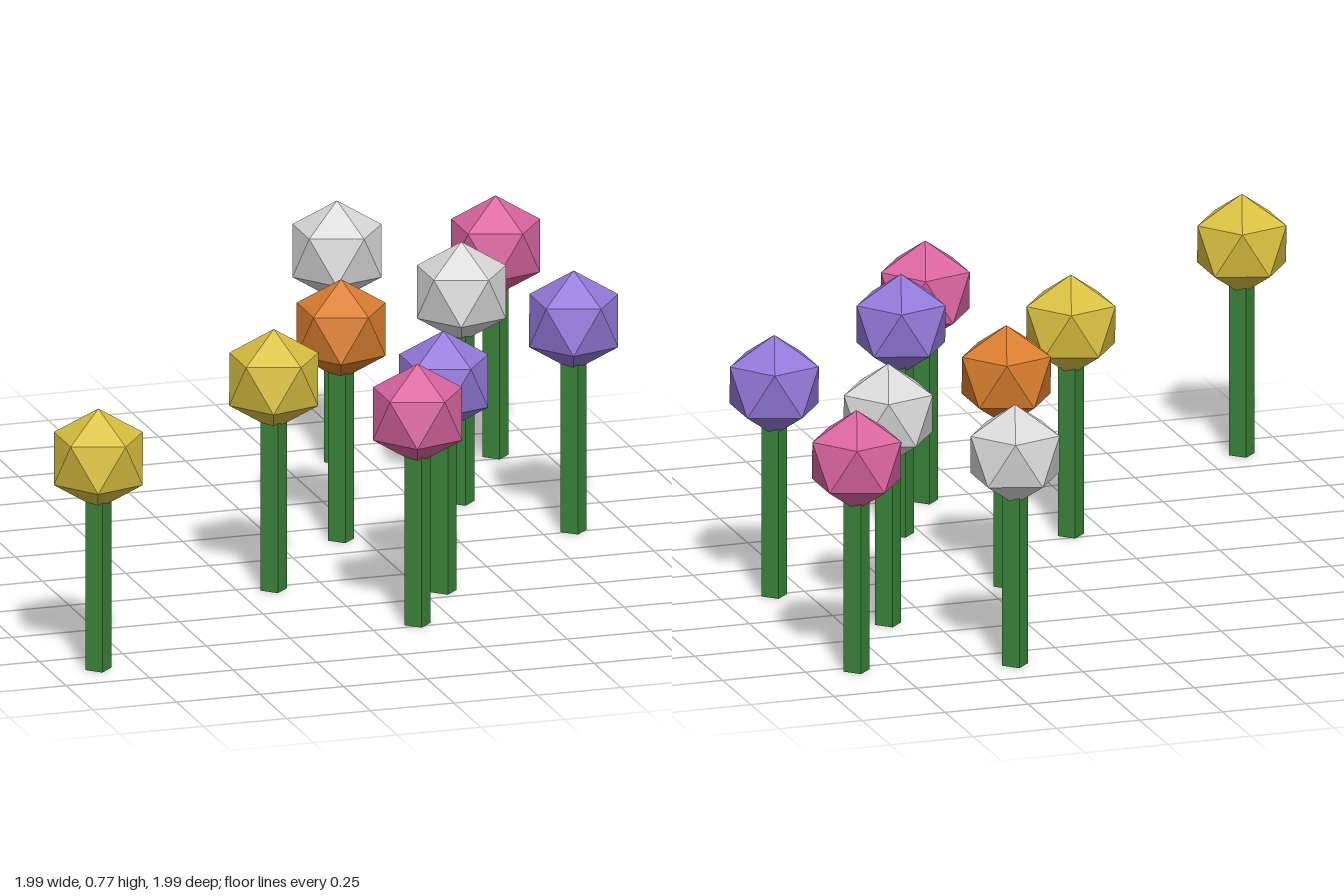
import * as THREE from 'three';

const BALL_R = 0.149, BALL_Y = 0.626;
const STEM_R = 0.039, STEM_H = 0.58;

function flat(name, color) {
  const m = new THREE.MeshStandardMaterial({ color, flatShading: true });
  m.name = name;
  return m;
}

export function createModel() {
  const model = new THREE.Group();
  model.name = 'flowerPatch';

  const green = flat('stemGreen', 0x3a853a);
  const petals = {
    yellow: flat('yellow', 0xd9c03f),
    pink: flat('pink', 0xd9649f),
    purple: flat('purple', 0x9378d9),
    orange: flat('orange', 0xd97e2e),
    white: flat('white', 0xd9d9d9),
  };

  // Blossom: icosahedron standing on a corner, upper ring pointing to +x
  const ball = new THREE.IcosahedronGeometry(BALL_R, 0);
  ball.rotateX(-Math.atan((1 + Math.sqrt(5)) / 2));
  ball.rotateY(Math.PI / 2);
  ball.translate(0, BALL_Y, 0);

  // Stem: square post with its edges on the axes
  const post = new THREE.CylinderGeometry(STEM_R, STEM_R, STEM_H, 4);
  post.translate(0, STEM_H / 2, 0);

  // Flower positions: colour, x, z
  const flowers = [
    ['yellow', -0.862, 0.87],
    ['yellow', -0.147, 0.279],
    ['pink', 0.139, 0.728],
    ['purple', 0.309, 0.442],
    ['orange', 0.186, -0.13],
    ['purple', 0.843, -0.008],
    ['white', 0.625, -0.376],
    ['white', 0.411, -0.87],
    ['pink', 0.857, -0.78],
  ];
  for (const [color, x, z] of flowers) {
    const flower = new THREE.Group();
    flower.name = color + 'Flower';
    const stem = new THREE.Mesh(post, green);
    stem.name = 'stem';
    const blossom = new THREE.Mesh(ball, petals[color]);
    blossom.name = 'blossom';
    flower.add(stem, blossom);
    flower.position.set(x, 0, z);
    model.add(flower);
  }
  return model;
}
